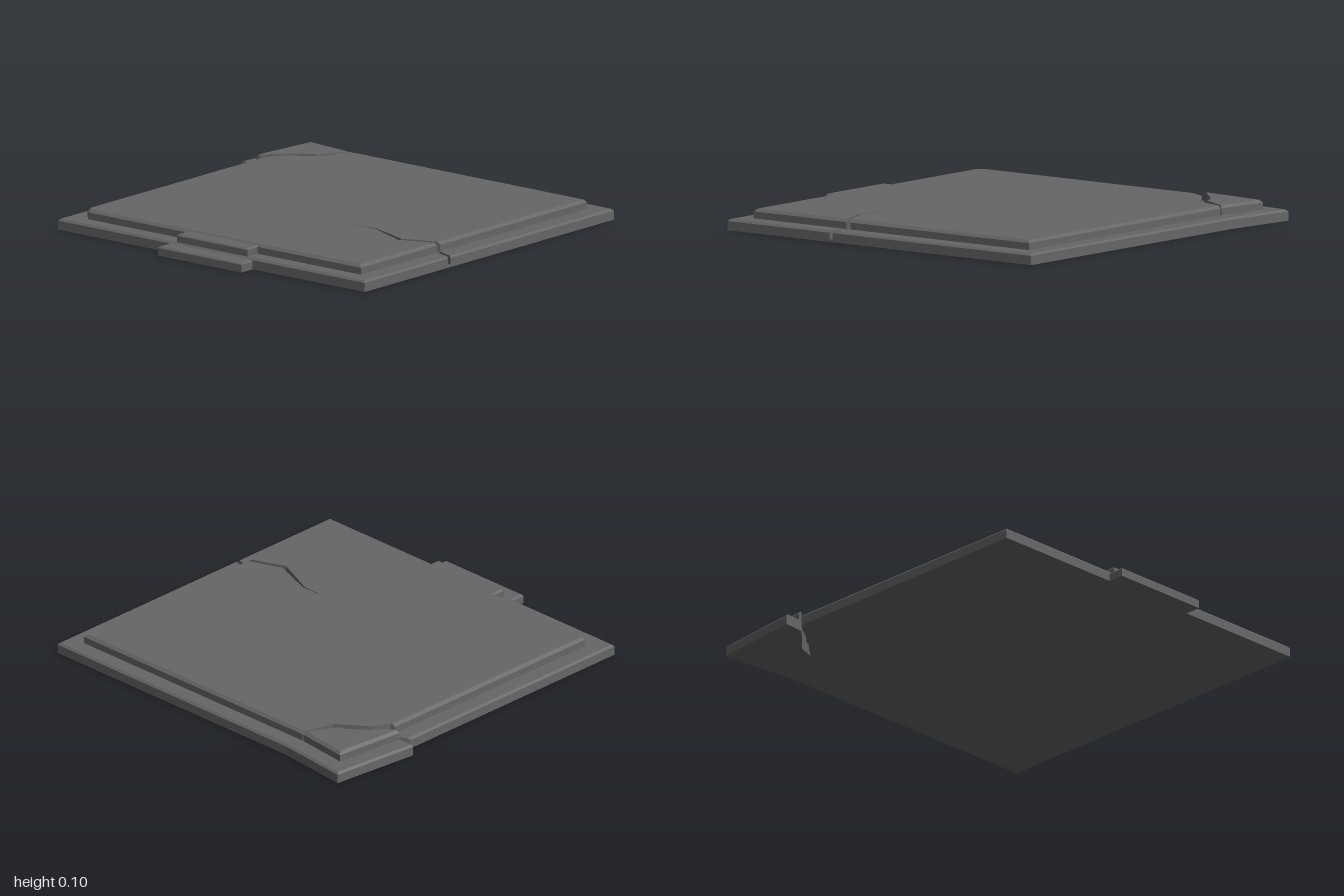
import * as THREE from 'three';

const stone = new THREE.MeshStandardMaterial({ color: 0x666666 });
stone.name = 'dark stone';

// Prism from an [x, z, bevel] outline; bevel is the top chamfer of the edge starting at that point
function slab(name, outline, y0, y1) {
  const n = outline.length;
  const pos = [];
  const normal = (i) => {
    const a = outline[(i + n) % n], b = outline[(i + 1) % n];
    const dx = b[0] - a[0], dz = b[1] - a[1], l = Math.hypot(dx, dz);
    return [-dz / l, dx / l, a[2] || 0];
  };
  const inset = outline.map((p, i) => {
    const u = normal(i - 1), v = normal(i);
    const det = u[0] * v[1] - u[1] * v[0];
    if (Math.abs(det) < 0.02) return [p[0] + v[0] * v[2], p[1] + v[1] * v[2]];
    return [p[0] + (u[2] * v[1] - v[2] * u[1]) / det, p[1] + (u[0] * v[2] - v[0] * u[2]) / det];
  });
  const bevel = Math.max(...outline.map((p) => p[2] || 0));
  const at = (ring, y) => ring.map((p) => [p[0], y, p[1]]);
  const rings = [at(outline, y0), at(outline, y1 - bevel), at(inset, y1)];
  // walls and chamfers
  for (let r = 0; r < 2; r++) {
    for (let i = 0; i < n; i++) {
      const j = (i + 1) % n;
      const a = rings[r][i], b = rings[r][j], A = rings[r + 1][i], B = rings[r + 1][j];
      pos.push(...a, ...A, ...B, ...a, ...B, ...b);
    }
  }
  // top and bottom caps
  for (const [ring, up] of [[rings[2], true], [rings[0], false]]) {
    const flat = ring.map((p) => new THREE.Vector2(p[0], p[2]));
    for (const [i, j, k] of THREE.ShapeUtils.triangulateShape(flat, [])) {
      const a = ring[i], b = ring[j], c = ring[k];
      const facesUp = (b[2] - a[2]) * (c[0] - a[0]) - (b[0] - a[0]) * (c[2] - a[2]) > 0;
      pos.push(...a, ...(facesUp === up ? [...b, ...c] : [...c, ...b]));
    }
  }
  const geo = new THREE.BufferGeometry();
  geo.setAttribute('position', new THREE.Float32BufferAttribute(pos, 3));
  geo.computeVertexNormals();
  const mesh = new THREE.Mesh(geo, stone);
  mesh.name = name;
  return mesh;
}

const rect = (x0, x1, z0, z1, b) => [[x0, z0, b], [x1, z0, b], [x1, z1, b], [x0, z1, b]];

export function createModel() {
  const group = new THREE.Group();
  group.name = 'crackedSlab';
  const b = 0.01, c = 0.014;

  // Thin jagged crack entering from the +x edge
  const crack = (bevel) => [
    [0.9, 0.232], [0.715, 0.305], [0.495, 0.225], [0.345, 0.228],
    [0.49, 0.232], [0.715, 0.33], [0.9, 0.256, bevel],
  ];
  // Broken edge at the back corner
  const baseBreak = [[-0.935, -0.49], [-0.785, -0.6], [-0.65, -0.715], [-0.58, -0.87]];

  // Lower slab: an uncut foundation under a cracked layer
  group.add(slab('foundation',
    [[-0.55, -0.96], [0.995, -0.96], [0.995, 0.915], [-0.935, 0.915], ...baseBreak], 0, 0.012));
  group.add(slab('lowerSlab', [
    [-0.55, -0.96, b], [0.995, -0.96, b], [0.995, 0.268], ...crack(0), [0.995, 0.286, b],
    [0.995, 0.915, b], [-0.935, 0.915, b], ...baseBreak,
  ], 0.012, 0.055));

  // Raised upper slab
  group.add(slab('upperSlab', [
    [-0.58, -0.873, c], [0.9, -0.873, c], ...crack(c), [0.9, 0.83, c], [-0.815, 0.83, c],
    [-0.845, 0.8, c], [-0.845, -0.505], [-0.822, -0.512], [-0.785, -0.595], [-0.627, -0.71],
  ], 0.055, 0.103));

  // Broken corner, twisted away from the slab
  group.add(slab('brokenCornerLower', [
    [-0.945, -1, b], [-0.55, -0.96], [-0.58, -0.87], [-0.65, -0.715],
    [-0.75, -0.675], [-0.885, -0.54], [-0.995, -0.533, b],
  ], 0, 0.055));
  group.add(slab('brokenCornerUpper', [
    [-0.867, -0.905, c], [-0.588, -0.873], [-0.672, -0.72], [-0.75, -0.677],
    [-0.885, -0.54], [-0.905, -0.538, c],
  ], 0.055, 0.103));

  // Stepped tab at the front
  group.add(slab('frontTabLower', rect(-0.235, 0.29, 0.9, 1, 0.008), 0, 0.046));
  group.add(slab('frontTabUpper', rect(-0.195, 0.25, 0.81, 0.905, 0.008), 0.05, 0.095));
  return group;
}
